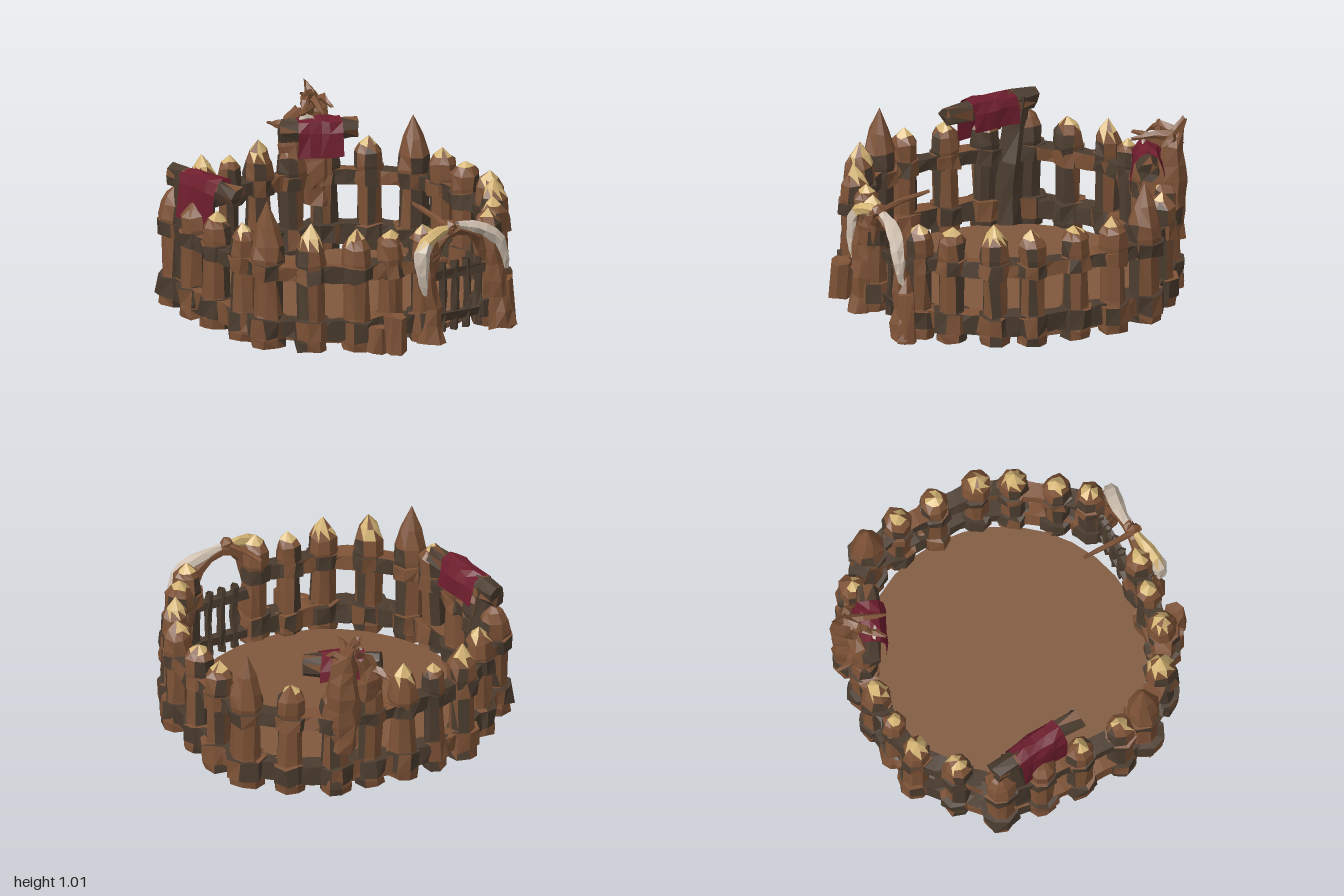
import * as THREE from 'three';

const V = (x, y, z) => new THREE.Vector3(x, y, z);
const mat = (name, color) => {
  const m = new THREE.MeshStandardMaterial({ color, flatShading: true, side: THREE.DoubleSide });
  m.name = name;
  return m;
};

// Repeatable noise in -1..1, so vertices sharing a place move together
const noise = (x, y, z, s) => {
  const n = Math.sin(Math.round(x * 500) * 1.27 + Math.round(y * 500) * 3.11 + Math.round(z * 500) * 2.47 + s * 7.3) * 4375.85;
  return (n - Math.floor(n)) * 2 - 1;
};
const rough = (geo, amount, seed) => {
  const p = geo.attributes.position;
  for (let i = 0; i < p.count; i++) {
    const x = p.getX(i), y = p.getY(i), z = p.getZ(i);
    p.setXYZ(i, x + amount * noise(x, y, z, seed), y + amount * noise(x, y, z, seed + 1), z + amount * noise(x, y, z, seed + 2));
  }
  geo.computeVertexNormals();
  return geo;
};

// Gives each triangle a material index chosen from its centre
const paint = (geo, choose) => {
  const g = geo.index ? geo.toNonIndexed() : geo;
  const p = g.attributes.position;
  g.clearGroups();
  for (let i = 0; i < p.count; i += 3) {
    const c = V(0, 0, 0);
    for (let k = 0; k < 3; k++) c.add(V(p.getX(i + k), p.getY(i + k), p.getZ(i + k)));
    g.addGroup(i, 3, choose(c.divideScalar(3), i / 3));
  }
  return g;
};

export function createModel() {
  const root = new THREE.Group();
  const wood = mat('wood', 0x7d5236), dark = mat('dark wood', 0x4b3c2f), tan = mat('cut wood', 0xd6b676);
  const bone = mat('bone', 0xcfc0b0), red = mat('red cloth', 0x6e1d2d), earth = mat('floor brown', 0x80593d);
  const add = (name, geo, material, parent = root) => {
    const m = new THREE.Mesh(geo, material);
    m.name = name;
    parent.add(m);
    return m;
  };

  // Tapered tube through points
  const limb = (name, pts, radii, material, sides = 6, seed = 1, jitter = 0.006) => {
    const curve = new THREE.CatmullRomCurve3(pts.map(p => V(...p)));
    const steps = (pts.length - 1) * 2;
    const geo = new THREE.TubeGeometry(curve, steps, 1, sides);
    const p = geo.attributes.position;
    for (let i = 0; i < p.count; i++) {
      const t = Math.floor(i / (sides + 1)) / steps, f = t * (radii.length - 1);
      const k = Math.min(Math.floor(f), radii.length - 2);
      const r = radii[k] + (radii[k + 1] - radii[k]) * (f - k);
      const c = curve.getPointAt(t);
      const v = V(p.getX(i), p.getY(i), p.getZ(i)).sub(c).multiplyScalar(r).add(c);
      p.setXYZ(i, v.x, v.y, v.z);
    }
    rough(geo, jitter, seed);
    return add(name, Array.isArray(material) ? paint(geo, c => (c.y > 0.6 ? 1 : 0)) : geo, material);
  };

  // Floor disc
  const floor = add('floor', new THREE.CylinderGeometry(0.8, 0.8, 0.03, 32), earth);
  floor.position.set(0, 0.035, -0.02);

  // Palisade posts in order round the ring: x, z, height, radius scale, pale tip
  const posts = [
    [0.47, 0.77, 0.69, 1, 1], [0.6, 0.63, 0.7, 1, 1], [0.745, 0.43, 0.73, 1, 1], [0.83, 0.24, 0.7, 1, 1],
    [0.84, -0.02, 0.69, 1, 1], [0.84, -0.25, 0.7, 1, 1], [0.79, -0.47, 0.84, 1.15, 0], [0.61, -0.655, 0.69, 1, 1],
    [0.4, -0.79, 0.7, 1, 1], [0.19, -0.81, 0.68, 1, 1], [-0.01, -0.835, 0.74, 1, 1], [-0.21, -0.83, 0.68, 0.8, 1],
    [-0.41, -0.8, 0.73, 1, 1], [-0.61, -0.64, 0.7, 1, 1], [-0.8, -0.47, 0.72, 1.1, 0], [-0.83, -0.23, 0.7, 1, 0],
    [-0.84, 0.01, 0.69, 1, 1], [-0.83, 0.27, 0.7, 1, 1], [-0.78, 0.445, 0.87, 1.15, 0], [-0.62, 0.64, 0.76, 1.05, 1],
    [-0.4, 0.77, 0.73, 1, 1], [-0.19, 0.79, 0.68, 0.9, 1], [0, 0.84, 0.7, 1, 1],
  ];
  posts.forEach(([x, z, h, s, tip], i) => {
    const profile = [[0, 0.02], [0.088, 0.02], [0.09, 0.07], [0.075, 0.2], [0.073, 0.42], [0.085, 0.53], [0.078, 0.61], [0.05, 0.61 + (h - 0.61) * 0.45], [0, h]];
    const geo = rough(new THREE.LatheGeometry(profile.map(([r, y]) => new THREE.Vector2(r * s, y)), 8), 0.009, i * 3 + 1);
    const painted = paint(geo, (c, n) => {
      const column = noise(Math.floor(n / 16), i, 0, 5);
      if (c.y > 0.64 && tip && noise(n, i, 2, 4) > -0.6) return 2;
      const inward = c.x * x + c.z * z < 0;
      return column > (inward ? -0.1 : 0.55) && c.y < 0.62 ? 1 : 0;
    });
    add('post', painted, [wood, dark, tan]).position.set(x, 0, z);
  });

  // Two lashed rails: collars on posts, beams between them, open at the gate
  [[0.465, 0.085, 0.092], [0.135, 0.11, 0.1]].forEach(([y, height, r], level) => {
    posts.forEach(([x, z, , s], i) => {
      const collar = rough(new THREE.CylinderGeometry(r * s, r * s, height, 8), 0.012, i + level * 40);
      add('railCollar', paint(collar, (c, n) => (noise(n >> 1, i, level, 9) > -0.1 ? 1 : 0)), [wood, dark]).position.set(x, y, z);
      if (i === posts.length - 1) return;
      const [x2, z2] = posts[i + 1];
      const beam = rough(new THREE.BoxGeometry(Math.hypot(x2 - x, z2 - z), height, 0.1, 2, 1, 1), 0.012, i + 80);
      const m = add('railBeam', paint(beam, (c, n) => (noise(n >> 2, i, level, 6) > -0.05 ? 1 : 0)), [wood, dark]);
      m.position.set((x + x2) / 2, y, (z + z2) / 2);
      m.rotation.y = Math.atan2(z - z2, x2 - x);
    });
  });

  // Gate posts, arch and barred door
  limb('gatePost', [[0.0, 0.02, 0.92], [0.01, 0.2, 0.91], [-0.03, 0.42, 0.9], [0.0, 0.61, 0.89]], [0.08, 0.055, 0.05, 0.045], wood, 7, 3, 0.012);
  limb('gatePost', [[0.5, 0.02, 0.89], [0.48, 0.2, 0.87], [0.45, 0.4, 0.87], [0.43, 0.58, 0.86]], [0.075, 0.065, 0.055, 0.045], wood, 7, 8, 0.012);
  limb('gateArch', [[0.04, 0.4, 0.86], [0.08, 0.58, 0.86], [0.18, 0.64, 0.87], [0.32, 0.59, 0.86], [0.42, 0.42, 0.84]], [0.03, 0.035, 0.035, 0.035, 0.03], wood, 5, 4);
  for (const x of [0.15, 0.23, 0.31, 0.39]) {
    limb('gateBar', [[x, 0.03, 0.8], [x + 0.006, 0.22, 0.8], [x, 0.43, 0.8]], [0.025, 0.024, 0.022], dark, 5, x * 30);
  }
  for (const y of [0.11, 0.36]) {
    add('gateCrossbar', rough(new THREE.BoxGeometry(0.38, 0.05, 0.04), 0.008, y * 9), dark).position.set(0.26, y, 0.8);
  }

  // Tusks over the gate, with a knot and stick where they meet
  limb('leftTusk', [[-0.045, 0.31, 0.93], [-0.068, 0.45, 0.935], [-0.06, 0.57, 0.92], [0.03, 0.64, 0.9], [0.14, 0.66, 0.88]], [0.012, 0.036, 0.045, 0.038, 0.022], [bone, tan]);
  limb('rightTusk', [[0.51, 0.36, 0.9], [0.48, 0.5, 0.9], [0.42, 0.58, 0.89], [0.31, 0.635, 0.87], [0.2, 0.66, 0.87]], [0.012, 0.036, 0.045, 0.036, 0.022], bone);
  add('tuskKnot', rough(new THREE.IcosahedronGeometry(0.045, 0), 0.01, 2), wood).position.set(0.15, 0.66, 0.88);
  limb('gateStick', [[0.12, 0.72, 0.55], [0.13, 0.69, 0.72], [0.15, 0.65, 0.92]], [0.008, 0.015, 0.018], wood, 5);

  // Low stumps outside the front wall
  for (const [x, z, r, h] of [[-0.25, 0.925, 0.07, 0.2], [-0.34, 0.88, 0.06, 0.14], [0.52, 0.87, 0.06, 0.28]]) {
    add('stump', rough(new THREE.CylinderGeometry(r * 0.85, r, h, 7), 0.012, h * 50), wood).position.set(x, 0.02 + h / 2, z);
  }

  // Banner: a rough log with cloth draped over it
  const banner = (name, a, b, radius, width, hangBack, hangFront) => {
    const g = new THREE.Group();
    g.name = name;
    g.position.set((a[0] + b[0]) / 2, (a[1] + b[1]) / 2, (a[2] + b[2]) / 2);
    g.rotation.y = Math.atan2(a[2] - b[2], b[0] - a[0]);
    root.add(g);
    const length = Math.hypot(b[0] - a[0], b[2] - a[2]);
    const log = new THREE.CylinderGeometry(radius, radius * 1.05, length, 7, 4).rotateZ(Math.PI / 2);
    add('bannerLog', paint(rough(log, 0.013, length * 20), (c, n) => (n % 5 === 0 ? 0 : 1)), [wood, dark], g);
    const r = radius + 0.018;
    const drape = [[-r - 0.015, -hangBack], [-r, 0], [-r * 0.7, r * 0.75], [0, r], [r * 0.7, r * 0.75], [r, 0], [r + 0.015, -hangFront]];
    const cloth = new THREE.PlaneGeometry(width, 1, 4, drape.length - 1);
    const p = cloth.attributes.position;
    for (let i = 0; i < p.count; i++) {
      const [z, y] = drape[Math.floor(i / 5)];
      p.setXYZ(i, p.getX(i), y, z);
    }
    add('bannerCloth', rough(cloth, 0.009, 12), red, g);
  };
  banner('leftBanner', [-0.8, 0.765, -0.51], [-0.72, 0.765, 0.06], 0.058, 0.3, 0.1, 0.2);
  banner('backBanner', [0.11, 0.77, -0.8], [0.51, 0.77, -0.62], 0.062, 0.25, 0.06, 0.14);
  limb('bannerProp', [[-0.77, 0.05, -0.34], [-0.78, 0.4, -0.36], [-0.79, 0.8, -0.42]], [0.085, 0.08, 0.06], dark, 7, 6, 0.012);

  // Back totem: thick trunk, pointed head and gnarled branches
  limb('totemTrunk', [[0.37, 0.3, -0.81], [0.37, 0.6, -0.82], [0.37, 0.8, -0.83], [0.36, 0.91, -0.86], [0.35, 1.0, -0.92]], [0.09, 0.1, 0.1, 0.065, 0.004], wood, 7, 5, 0.012);
  limb('totemShoulder', [[0.2, 0.6, -0.81], [0.2, 0.75, -0.83], [0.26, 0.87, -0.84]], [0.08, 0.075, 0.03], wood, 7, 9, 0.012);
  const branches = [
    [[0.37, 0.9, -0.87], [0.32, 0.91, -0.74], [0.28, 0.89, -0.62]],
    [[0.36, 0.92, -0.86], [0.28, 0.95, -0.8], [0.22, 0.9, -0.74]],
    [[0.36, 0.86, -0.84], [0.28, 0.87, -0.78], [0.17, 0.89, -0.68]],
    [[0.28, 0.9, -0.8], [0.27, 0.94, -0.8], [0.25, 0.97, -0.8]],
    [[0.36, 0.86, -0.85], [0.4, 0.91, -0.82], [0.42, 0.87, -0.74]],
    [[0.22, 0.78, -0.83], [0.17, 0.77, -0.9], [0.155, 0.76, -1.0]],
  ];
  branches.forEach((pts, i) => limb('totemBranch', pts, [0.035, 0.025, 0.007], wood, 5, i + 20));
  limb('totemFang', [[0.2, 0.84, -0.74], [0.23, 0.86, -0.72], [0.27, 0.85, -0.7]], [0.006, 0.018, 0.006], bone, 5);

  return root;
}
